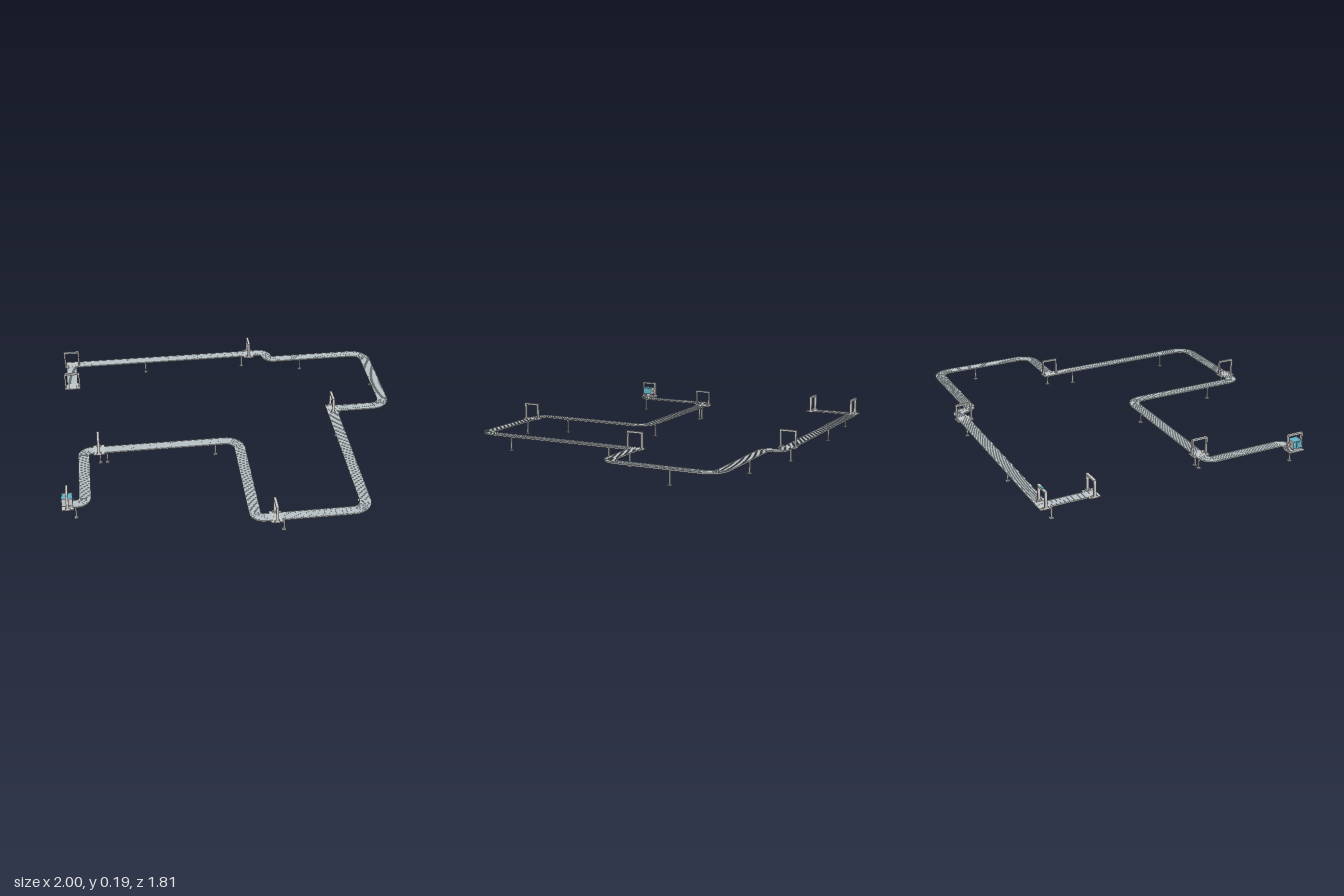
import * as THREE from 'three';
import { mergeGeometries } from 'three/addons/utils/BufferGeometryUtils.js';

const mat = (color) => new THREE.MeshStandardMaterial({ color });
const grey = mat(0xcccccc), bedGrey = mat(0xb9c4c8), blue = mat(0x5fb4cc), teal = mat(0x4fb39a);

// Line centre as corners: x, z, bend radius
const corners = [
  [-0.99, 0.607, 0], [-0.872, 0.607, 0.045], [-0.872, 0.119, 0.045], [0.024, 0.119, 0.08],
  [0.024, 0.851, 0.045], [0.633, 0.851, 0.08], [0.633, -0.142, 0], [0.966, -0.142, 0.08],
  [0.966, -0.772, 0.08], [0.334, -0.772, 0.044], [0.334, -0.861, 0.044], [-0.93, -0.861, 0], [-0.93, -0.57, 0],
];
const bedTop = 0.09;

function linePoints() {
  const v = corners.map(([x, z]) => new THREE.Vector2(x, z));
  const points = [];
  v.forEach((p, i) => {
    const r = corners[i][2];
    if (!r) return points.push(p);
    const into = p.clone().sub(v[i - 1]).normalize();
    const out = v[i + 1].clone().sub(p).normalize();
    const centre = p.clone().addScaledVector(out, r).addScaledVector(into, -r);
    for (let k = 0; k <= 8; k++) {
      const a = (k / 8) * Math.PI / 2;
      points.push(centre.clone().addScaledVector(out, -r * Math.cos(a)).addScaledVector(into, r * Math.sin(a)));
    }
  });
  return points.filter((p, i) => !i || p.distanceTo(points[i - 1]) > 0.0015);
}

// Rectangular section swept along the line with mitred joints
function sweep(points, n0, n1, y0, y1) {
  const section = [[n0, y0], [n1, y0], [n1, y1], [n0, y1]];
  const normals = points.slice(1).map((p, i) => {
    const d = p.clone().sub(points[i]).normalize();
    return new THREE.Vector2(d.y, -d.x);
  });
  const pos = [], index = [];
  points.forEach((p, i) => {
    const a = normals[Math.max(i - 1, 0)], b = normals[Math.min(i, normals.length - 1)];
    const m = a.clone().add(b).divideScalar(1 + a.dot(b));
    for (const [n, y] of section) pos.push(p.x + m.x * n, y, p.y + m.y * n);
    if (i === points.length - 1) return;
    for (let k = 0; k < 4; k++) {
      const q = i * 4 + k, s = i * 4 + (k + 1) % 4;
      index.push(q, s, s + 4, q, s + 4, q + 4);
    }
  });
  const e = (points.length - 1) * 4;
  index.push(0, 2, 1, 0, 3, 2, e, e + 1, e + 2, e, e + 2, e + 3);
  const g = new THREE.BufferGeometry();
  g.setAttribute('position', new THREE.Float32BufferAttribute(pos, 3));
  g.setIndex(index);
  const flat = g.toNonIndexed();
  flat.computeVertexNormals();
  return flat;
}

// Thin cross slats spaced evenly along the line
function slats(points) {
  const parts = [], step = 0.012;
  let next = step / 2;
  for (let i = 1; i < points.length; i++) {
    const a = points[i - 1], d = points[i].clone().sub(a), length = d.length();
    d.normalize();
    for (; next < length; next += step) {
      const g = new THREE.BoxGeometry(0.054, 0.0015, 0.006);
      g.rotateY(Math.atan2(d.x, d.y));
      g.translate(a.x + d.x * next, bedTop - 0.0005, a.y + d.y * next);
      parts.push(g);
    }
    next -= length;
  }
  return mergeGeometries(parts);
}

function add(parent, name, geometry, material, x = 0, y = 0, z = 0) {
  const mesh = new THREE.Mesh(geometry, material);
  mesh.name = name;
  mesh.position.set(x, y, z);
  parent.add(mesh);
  return mesh;
}
const box = (w, h, d) => new THREE.BoxGeometry(w, h, d);

// Portal frame whose opening faces along x
function makeGate() {
  const gate = new THREE.Group();
  gate.name = 'gate';
  add(gate, 'gateBase', box(0.065, 0.006, 0.096), grey, 0, 0.087, 0);
  add(gate, 'gateBeam', box(0.015, 0.01, 0.096), grey, 0, 0.179, 0);
  for (const s of [-1, 1]) {
    add(gate, 'gatePost', box(0.015, 0.09, 0.009), grey, 0, 0.134, s * 0.0435);
    add(gate, 'gateFoot', box(0.03, 0.006, 0.012), grey, 0, 0.093, s * 0.042);
  }
  return gate;
}

function makeLeg(x, z) {
  const leg = new THREE.Group();
  leg.name = 'supportLeg';
  leg.position.set(x, 0, z);
  add(leg, 'legPost', box(0.008, 0.083, 0.008), grey, 0, 0.0425, 0);
  add(leg, 'legFoot', box(0.022, 0.004, 0.022), grey, 0, 0.002, 0);
  add(leg, 'legHead', box(0.018, 0.004, 0.018), grey, 0, 0.083, 0);
  return leg;
}

export function createModel() {
  const model = new THREE.Group();
  model.name = 'conveyorLine';
  const points = linePoints();

  // Conveyor bed with slats and side rails
  add(model, 'conveyorBed', sweep(points, -0.03, 0.03, 0.085, 0.0892), bedGrey);
  add(model, 'conveyorSlats', slats(points), bedGrey);
  for (const s of [-1, 1]) {
    add(model, 'sideRail', sweep(points, s * 0.0305 - 0.0015, s * 0.0305 + 0.0015, 0.084, 0.0915), grey);
  }

  // Gates: x, z, turn
  const turn = Math.PI / 2;
  for (const [x, z, r] of [
    [-0.966, 0.61, 0], [-0.785, 0.119, 0], [0.13, 0.853, 0], [0.633, -0.139, 0],
    [0.22, -0.858, 0], [-0.928, -0.86, turn], [-0.928, -0.595, turn],
  ]) {
    const gate = makeGate();
    gate.position.set(x, 0, z);
    gate.rotation.y = r;
    model.add(gate);
  }

  // Indicator on the corner gate
  add(model, 'gateIndicator', box(0.03, 0.005, 0.012), teal, -0.928, 0.183, -0.86);

  // Scanner cabinet inside the first gate
  const scanner = new THREE.Group();
  scanner.name = 'scanner';
  scanner.position.set(-0.967, 0, 0.613);
  add(scanner, 'scannerBody', box(0.056, 0.042, 0.05), blue, 0, 0.127, 0);
  for (const s of [-1, 1]) {
    add(scanner, 'scannerSide', box(0.06, 0.046, 0.004), grey, 0, 0.127, s * 0.027);
    add(scanner, 'scannerPanel', box(0.004, 0.034, 0.018), blue, s * 0.03, 0.127, 0);
    add(scanner, 'scannerBracket', box(0.012, 0.008, 0.014), grey, 0, 0.127, s * 0.036);
  }
  add(scanner, 'scannerStand', box(0.03, 0.018, 0.03), grey, 0, 0.098, 0);
  model.add(scanner);

  // Support legs: x, z
  for (const [x, z] of [
    [-0.925, 0.615], [-0.78, 0.122], [-0.74, 0.122], [-0.11, 0.122], [0.023, 0.66], [0.175, 0.855],
    [0.633, 0.66], [0.633, 0.02], [0.68, -0.135], [0.966, -0.517], [0.55, -0.772],
    [0.175, -0.859], [-0.455, -0.859], [-0.925, -0.813],
  ]) model.add(makeLeg(x, z));

  return model;
}
